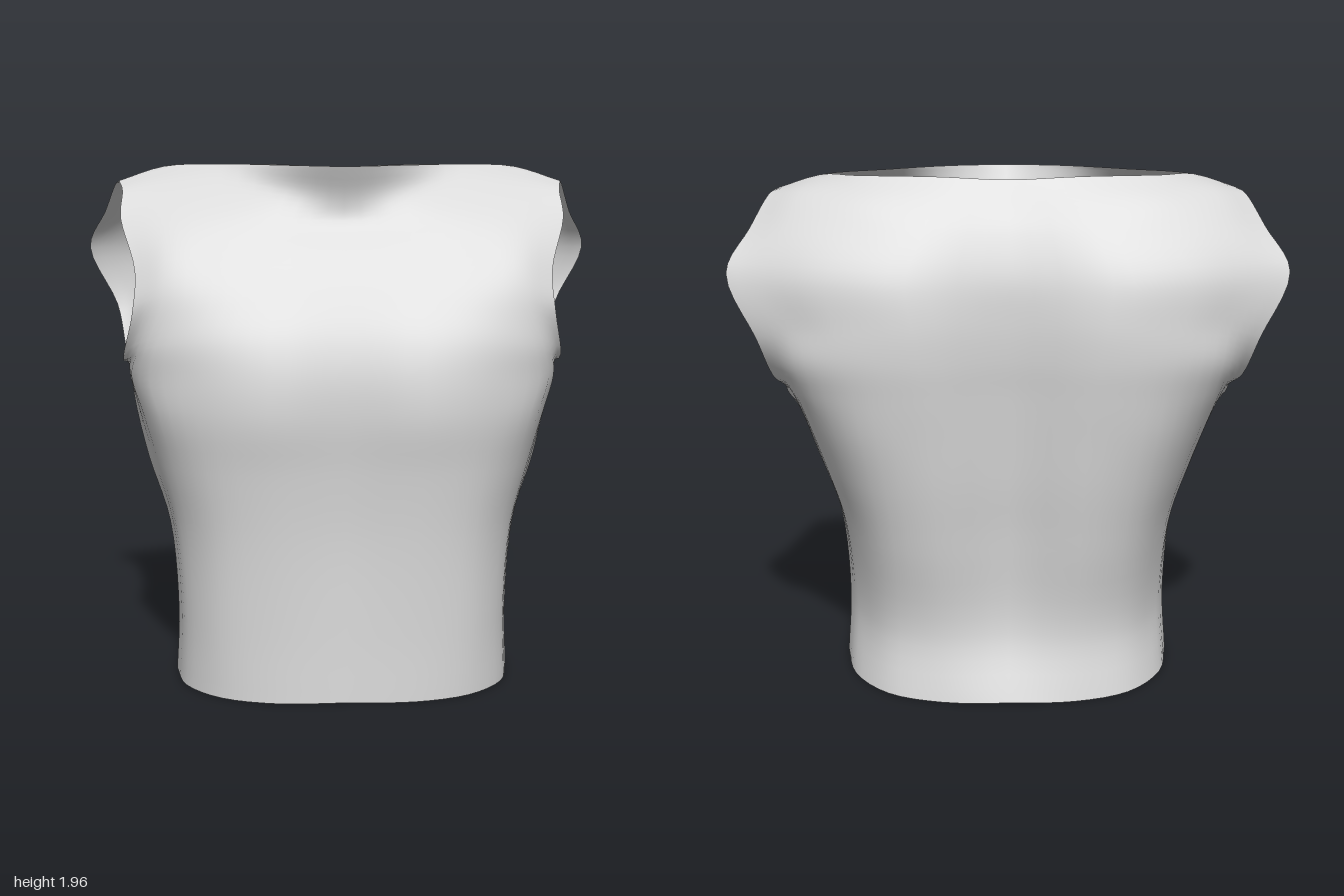
import * as THREE from 'three';
import { mergeVertices } from 'three/addons/utils/BufferGeometryUtils.js';

const COLS = 32, STEPS = 5; // columns (a multiple of 8), and rows between two sections

// Hem to ribs: height, half-section x (centre to side seam), front z, back z
const WAIST = [
  [0.00, [0, .25, .46, .60, .650], [.485, .485, .415, .265, .06], [-.45, -.44, -.36, -.18, .06]],
  [0.25, [0, .25, .46, .59, .637], [.475, .482, .42, .275, .09], [-.365, -.39, -.30, -.09, .09]],
  [0.60, [0, .26, .47, .61, .665], [.470, .490, .43, .275, .08], [-.38, -.44, -.37, -.15, .08]],
  [0.85, [0, .27, .50, .66, .745], [.485, .510, .45, .305, .05], [-.41, -.48, -.43, -.24, .05]],
  [1.05, [0, .28, .53, .71, .800], [.505, .535, .47, .335, -.03], [-.43, -.505, -.475, -.32, -.03]],
];

// Armpit to neckline: x, y, z of each half-section, ending on the armhole rim
const CHEST = [
  [[0, .28, .54, .75, .83], [1.20, 1.20, 1.20, 1.18, 1.17], [.50, .525, .468, .315, -.17]],
  [[0, .28, .54, .72, .82], [1.33, 1.33, 1.33, 1.30, 1.25], [.47, .49, .455, .365, .18]],
  [[0, .26, .48, .66, .77], [1.47, 1.47, 1.47, 1.46, 1.42], [.41, .42, .415, .38, .325]],
  [[0, .26, .48, .65, .76], [1.62, 1.62, 1.62, 1.61, 1.57], [.33, .335, .33, .32, .29]],
  [[0, .25, .45, .65, .82], [1.75, 1.76, 1.77, 1.77, 1.76], [.24, .24, .225, .20, .165]],
  [[0, .21, .45, .66, .82], [1.83, 1.86, 1.895, 1.885, 1.855], [.238, .19, .085, .055, .075]],
  [[0, .20, .45, .68, .845], [1.945, 1.95, 1.957, 1.95, 1.895], [.28, .20, -.01, -.12, -.05]],
];
const UPPER_BACK = [
  [[0, .30, .55, .74, .83], [1.20, 1.20, 1.20, 1.19, 1.17], [-.445, -.525, -.50, -.39, -.17]],
  [[0, .32, .58, .76, .86], [1.33, 1.33, 1.33, 1.31, 1.24], [-.46, -.54, -.515, -.44, -.29]],
  [[0, .34, .61, .78, .90], [1.47, 1.47, 1.46, 1.44, 1.40], [-.465, -.54, -.505, -.44, -.39]],
  [[0, .36, .64, .84, 1.0], [1.62, 1.62, 1.63, 1.63, 1.63], [-.455, -.515, -.48, -.415, -.36]],
  [[0, .30, .55, .78, .925], [1.77, 1.78, 1.79, 1.80, 1.775], [-.405, -.435, -.41, -.34, -.26]],
  [[0, .27, .54, .74, .87], [1.87, 1.88, 1.89, 1.90, 1.88], [-.35, -.365, -.34, -.25, -.14]],
  [[0, .25, .54, .68, .845], [1.95, 1.96, 1.96, 1.95, 1.895], [-.305, -.30, -.25, -.12, -.05]],
];

// Mirrors a half-section and smooths it into COLS + 1 points from right to left
function section([xs, ys, zs]) {
  const half = xs.map((x, i) => new THREE.Vector3(x, ys[i], zs[i]));
  const mirrored = half.slice(1).reverse().map((p) => new THREE.Vector3(-p.x, p.y, p.z));
  return new THREE.CatmullRomCurve3([...mirrored, ...half]).getPoints(COLS);
}

// Lofts the sections upward into a grid of points, grid[row][column]
function panel(sections) {
  const lines = sections.map(section);
  const rows = (lines.length - 1) * STEPS;
  const columns = lines[0].map((_, i) =>
    new THREE.CatmullRomCurve3(lines.map((line) => line[i])).getPoints(rows));
  return Array.from({ length: rows + 1 }, (_, j) => columns.map((c) => c[j]));
}

function torsoGeometry() {
  const flat = (y) => Array(5).fill(y);
  const front = panel([...WAIST.map(([y, x, f]) => [x, flat(y), f]), ...CHEST]);
  const back = panel([...WAIST.map(([y, x, , b]) => [x, flat(y), b]), ...UPPER_BACK]);
  const rows = front.length - 1, armpitRow = WAIST.length * STEPS;

  // Join the panels along the side seams and the shoulder seams
  for (let j = 0; j <= rows; j++) {
    for (let i = 0; i <= COLS; i++) {
      const sideSeam = i % COLS === 0 && j <= armpitRow;
      const shoulderSeam = j === rows && Math.abs(i - COLS / 2) >= COLS * 3 / 8;
      if (sideSeam || shoulderSeam) back[j][i] = front[j][i];
    }
  }

  const positions = [], index = [];
  [front, back].forEach((grid, side) => {
    const base = positions.length / 3;
    grid.flat().forEach((p) => positions.push(p.x, p.y, p.z));
    for (let j = 0; j < rows; j++) {
      for (let i = 0; i < COLS; i++) {
        const a = base + j * (COLS + 1) + i, b = a + 1, c = a + COLS + 1, d = c + 1;
        if (side === 0) index.push(a, b, d, a, d, c);
        else index.push(a, d, b, a, c, d);
      }
    }
  });
  const geometry = new THREE.BufferGeometry();
  geometry.setAttribute('position', new THREE.Float32BufferAttribute(positions, 3));
  geometry.setIndex(index);
  const merged = mergeVertices(geometry, 1e-4);
  merged.computeVertexNormals();
  return merged;
}

export function createModel() {
  const grey = new THREE.MeshStandardMaterial({ color: 0xd9d9d9, side: THREE.DoubleSide });
  grey.name = 'grey';
  const torso = new THREE.Mesh(torsoGeometry(), grey);
  torso.name = 'torsoShell';
  const group = new THREE.Group();
  group.name = 'sleevelessTorso';
  group.add(torso);
  return group;
}
